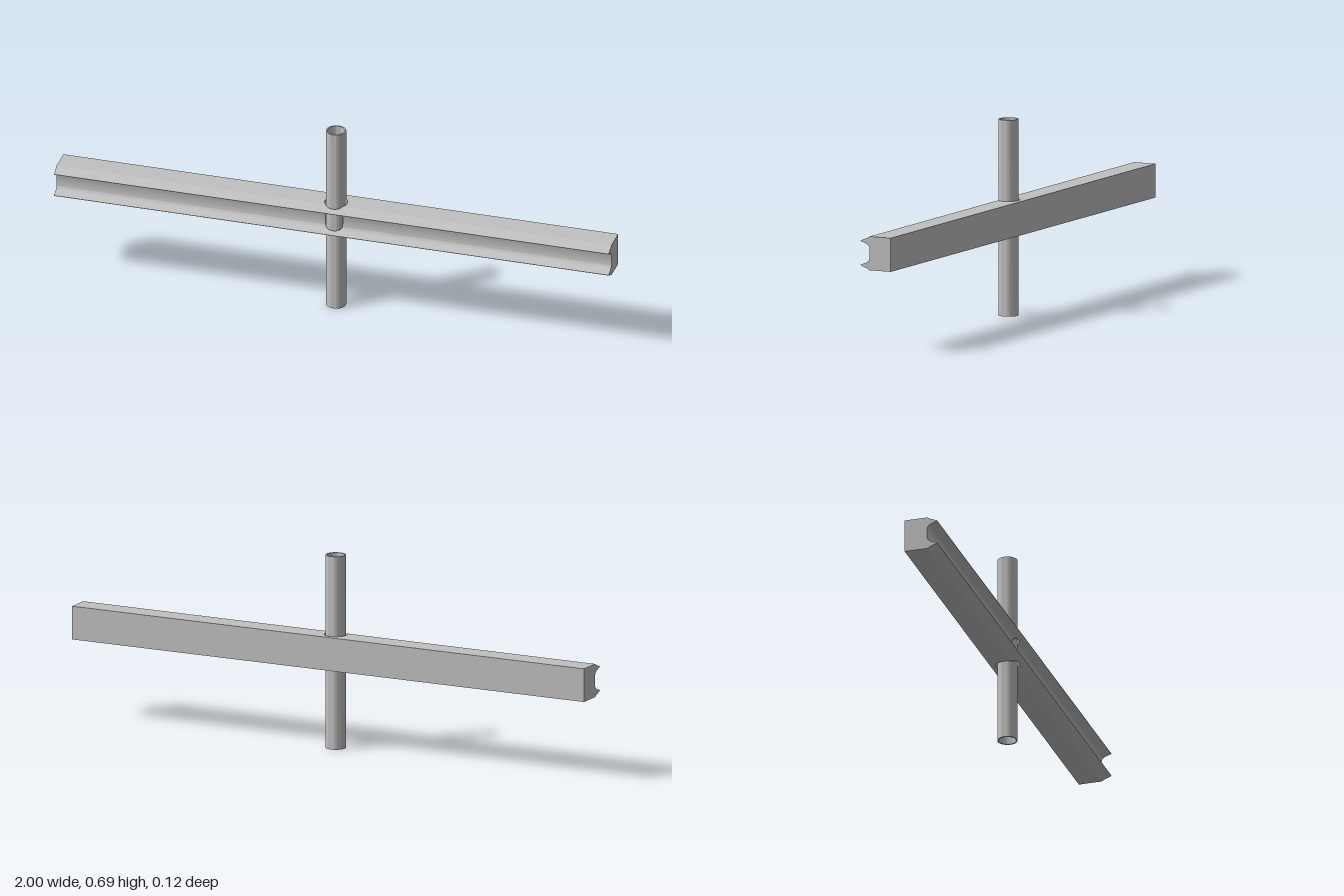
import * as THREE from 'three';
import { toCreasedNormals, mergeGeometries } from 'three/addons/utils/BufferGeometryUtils.js';

const MID = 0.344;            // height of the beam's centre line
const BORE = 0.04, ZC = -0.002; // bore radius and its z centre
const BACK = -0.059, WEB = 0.023, HALF = 0.059;

// upper half of the beam section as [z, height above centre line]
const TOP = [[BACK, HALF], [0.024, HALF], [0.028, 0.0565], [0.033, 0.053], [0.046, 0.0485], [0.059, 0.0425]];
const UNDER = [[WEB, 0], [WEB, 0.015], [0.0235, 0.019], [0.025, 0.0232], [0.028, 0.0275],
  [0.033, 0.0318], [0.04, 0.0348], [0.059, 0.0412]];

function heightAt(curve, z) {
  for (let i = 1; i < curve.length; i++) {
    const [z0, y0] = curve[i - 1], [z1, y1] = curve[i];
    if (z <= z1 && z1 > z0) return y0 + (y1 - y0) * (z - z0) / (z1 - z0);
  }
  return curve[curve.length - 1][1];
}

// full section swept along x on one side of the bore
function sideBeam() {
  const upper = [...TOP, ...[...UNDER].reverse()];
  const lower = [...upper].reverse().map(([z, y]) => [z, -y]);
  const shape = new THREE.Shape([...upper, ...lower.slice(1)].map(([z, y]) => new THREE.Vector2(-z, y)));
  const g = new THREE.ExtrudeGeometry(shape, { depth: 1 - BORE, bevelEnabled: false });
  g.rotateY(Math.PI / 2);
  return toCreasedNormals(g, 0.5);
}

// block behind the bore, with a half-round cut
function backBlock() {
  const shape = new THREE.Shape();
  shape.moveTo(-BORE, -BACK);
  shape.lineTo(-BORE, -ZC);
  shape.absarc(0, -ZC, BORE, Math.PI, 0, true);
  shape.lineTo(BORE, -BACK);
  const g = new THREE.ExtrudeGeometry(shape, { depth: HALF * 2, bevelEnabled: false, curveSegments: 32 });
  g.rotateX(-Math.PI / 2).translate(0, -HALF, 0);
  return toCreasedNormals(g, 0.5);
}

// half of the section in front of the bore, cut back to the bore wall row by row
function frontLip(sign) {
  const slot = Math.sqrt(BORE ** 2 - (WEB - ZC) ** 2);
  const xs = [-slot - 1e-4, -slot + 1e-4, slot - 1e-4, slot + 1e-4];
  for (let i = 0; i <= 36; i++) xs.push(-BORE * Math.cos(Math.PI * i / 36));
  xs.sort((a, b) => a - b);
  const pos = [], index = [];
  let n = 0;
  for (const x of xs) {
    const z0 = ZC + Math.sqrt(Math.max(0, BORE ** 2 - x * x));
    const clip = (curve) => curve.map(([z, y]) => z < z0 ? [z0, heightAt(curve, z0)] : [z, y]);
    const loop = [[z0, z0 > WEB ? heightAt(UNDER, z0) : 0], ...clip(TOP), ...clip(UNDER).reverse()];
    n = loop.length;
    for (const [z, y] of loop) pos.push(x, y * sign, z);
  }
  for (let i = 0; i < xs.length - 1; i++) {
    for (let j = 0; j < n - 1; j++) {
      const a = i * n + j, b = a + 1, c = b + n, d = a + n;
      if (sign > 0) index.push(a, b, c, a, c, d);
      else index.push(a, c, b, a, d, c);
    }
  }
  const g = new THREE.BufferGeometry();
  g.setAttribute('position', new THREE.Float32BufferAttribute(pos, 3));
  g.setIndex(index);
  return toCreasedNormals(g, 0.5);
}

export function createModel() {
  const model = new THREE.Group();
  const metal = new THREE.MeshStandardMaterial({ color: 0xc0c0c0 });
  metal.name = 'greyMetal';
  const add = (name, geometry, parent) => {
    const mesh = new THREE.Mesh(geometry, metal);
    mesh.name = name;
    parent.add(mesh);
    return mesh;
  };

  // channelled crossbeam with a bore through its middle
  const beam = new THREE.Group();
  beam.name = 'crossbeam';
  beam.position.y = MID;
  model.add(beam);
  add('leftBeam', sideBeam(), beam).position.x = BORE;
  add('rightBeam', sideBeam(), beam).position.x = -1;
  add('boreBack', backBlock(), beam);
  add('boreFrontLips', mergeGeometries([frontLip(1), frontLip(-1)]), beam);

  // hollow upright tube
  const H = 0.686, RO = 0.035, RI = 0.03;
  const profile = [[RI, 0], [RO, 0], [RO, H], [RI, H], [RI, 0]].map(([r, y]) => new THREE.Vector2(r, y));
  add('uprightTube', toCreasedNormals(new THREE.LatheGeometry(profile, 48), 0.6), model).position.z = ZC;

  return model;
}
